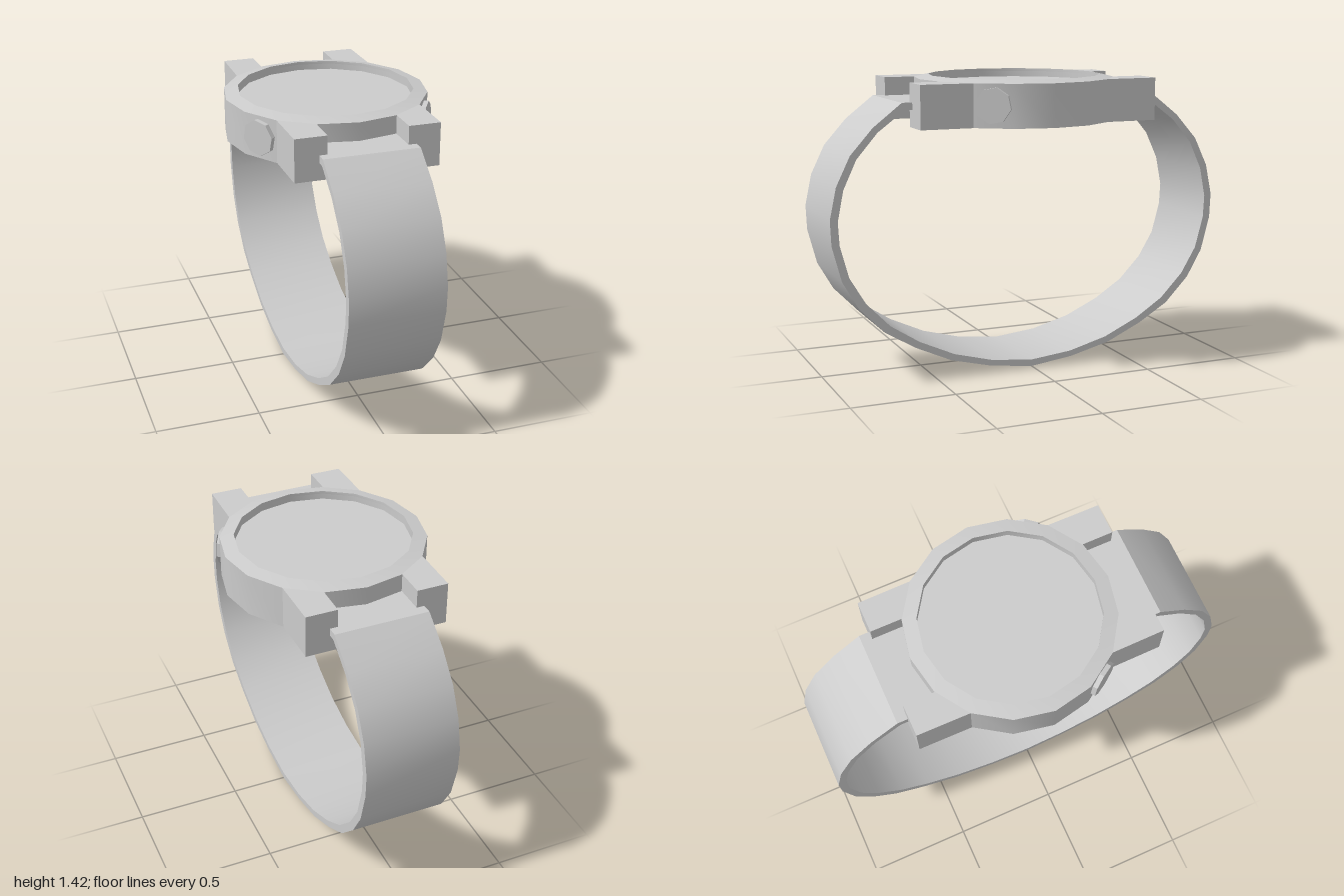
import * as THREE from 'three';
import { toCreasedNormals } from 'three/addons/utils/BufferGeometryUtils.js';

const SIDES = 16, OUTER = 0.487, INNER = 0.42;
const BASE = 1.205, TOP = 1.41;

export function createModel() {
  const group = new THREE.Group();
  const material = new THREE.MeshStandardMaterial({ color: 0xcccccc });

  const add = (name, geometry) => {
    const mesh = new THREE.Mesh(toCreasedNormals(geometry, 0.5), material);
    mesh.name = name;
    group.add(mesh);
    return mesh;
  };
  const ringPoint = (r, i) => {
    const a = (i / SIDES) * Math.PI * 2;
    return new THREE.Vector2(r * Math.cos(a), r * Math.sin(a));
  };

  // Case: sixteen-sided ring with four lugs, outlined quarter by quarter
  const right = [-2, -1, 0, 1, 2].map(i => ringPoint(OUTER, i));
  const front = [
    [0.342, 0.6], [0.19, 0.6], [0.19, 0.45], [0, OUTER],
    [-0.19, 0.45], [-0.19, 0.6], [-0.342, 0.6],
  ].map(([x, y]) => new THREE.Vector2(x, y));
  const half = [...right, ...front];
  const outline = new THREE.Shape([...half, ...half.map(p => p.clone().negate())]);
  const hole = [];
  for (let i = 0; i < SIDES; i++) hole.push(ringPoint(INNER, -i));
  outline.holes.push(new THREE.Path(hole));
  const caseGeometry = new THREE.ExtrudeGeometry(outline, { depth: TOP - BASE, bevelEnabled: false });
  caseGeometry.rotateX(-Math.PI / 2).translate(0, BASE, 0);
  add('case', caseGeometry);

  // Bezel: low sloping rim around the dial
  add('bezel', new THREE.LatheGeometry([
    new THREE.Vector2(OUTER, TOP),
    new THREE.Vector2(INNER, TOP + 0.014),
    new THREE.Vector2(INNER, TOP),
  ], SIDES));

  // Dial and case back: one disc, recessed at both faces
  add('dial', new THREE.CylinderGeometry(INNER, INNER, 0.168, SIDES).translate(0, 1.298, 0));

  // Strap: side profile as [z, y], mirrored front to back
  const outerSide = [
    [0.43, 1.322], [0.65, 1.322], [0.79, 1.213], [0.9, 1.09], [0.968, 0.95],
    [1, 0.8], [0.995, 0.68], [0.95, 0.51], [0.872, 0.375], [0.75, 0.25],
    [0.6, 0.16], [0.42, 0.078], [0.215, 0.027], [0, 0],
  ];
  const innerSide = [
    [0.43, 1.287], [0.638, 1.287], [0.768, 1.19], [0.87, 1.072], [0.934, 0.935],
    [0.963, 0.79], [0.957, 0.68], [0.915, 0.525], [0.838, 0.397], [0.722, 0.278],
    [0.58, 0.187], [0.405, 0.107], [0.21, 0.055], [0, 0.033],
  ];
  const mirrored = side => side.slice(0, -1).reverse().map(([z, y]) => [-z, y]);
  const loop = [
    ...outerSide, ...mirrored(outerSide),
    ...[...innerSide, ...mirrored(innerSide)].reverse(),
  ];
  const strapShape = new THREE.Shape(loop.map(([z, y]) => new THREE.Vector2(z, y)));
  const strapGeometry = new THREE.ExtrudeGeometry(strapShape, { depth: 0.456, bevelEnabled: false });
  strapGeometry.rotateY(-Math.PI / 2).translate(0.228, 0, 0);
  add('strap', strapGeometry);

  // Buttons: eight-sided, set square on the slanted case walls
  for (const side of [1, -1]) {
    const angle = Math.PI * 0.1875;
    const direction = new THREE.Vector3(side * Math.cos(angle), 0, Math.sin(angle));
    const button = add(side > 0 ? 'leftButton' : 'rightButton',
      new THREE.CylinderGeometry(0.085, 0.085, 0.05, 8));
    button.quaternion.setFromUnitVectors(new THREE.Vector3(0, 1, 0), direction);
    button.position.copy(direction).multiplyScalar(0.475).setY(1.31);
  }
  return group;
}
